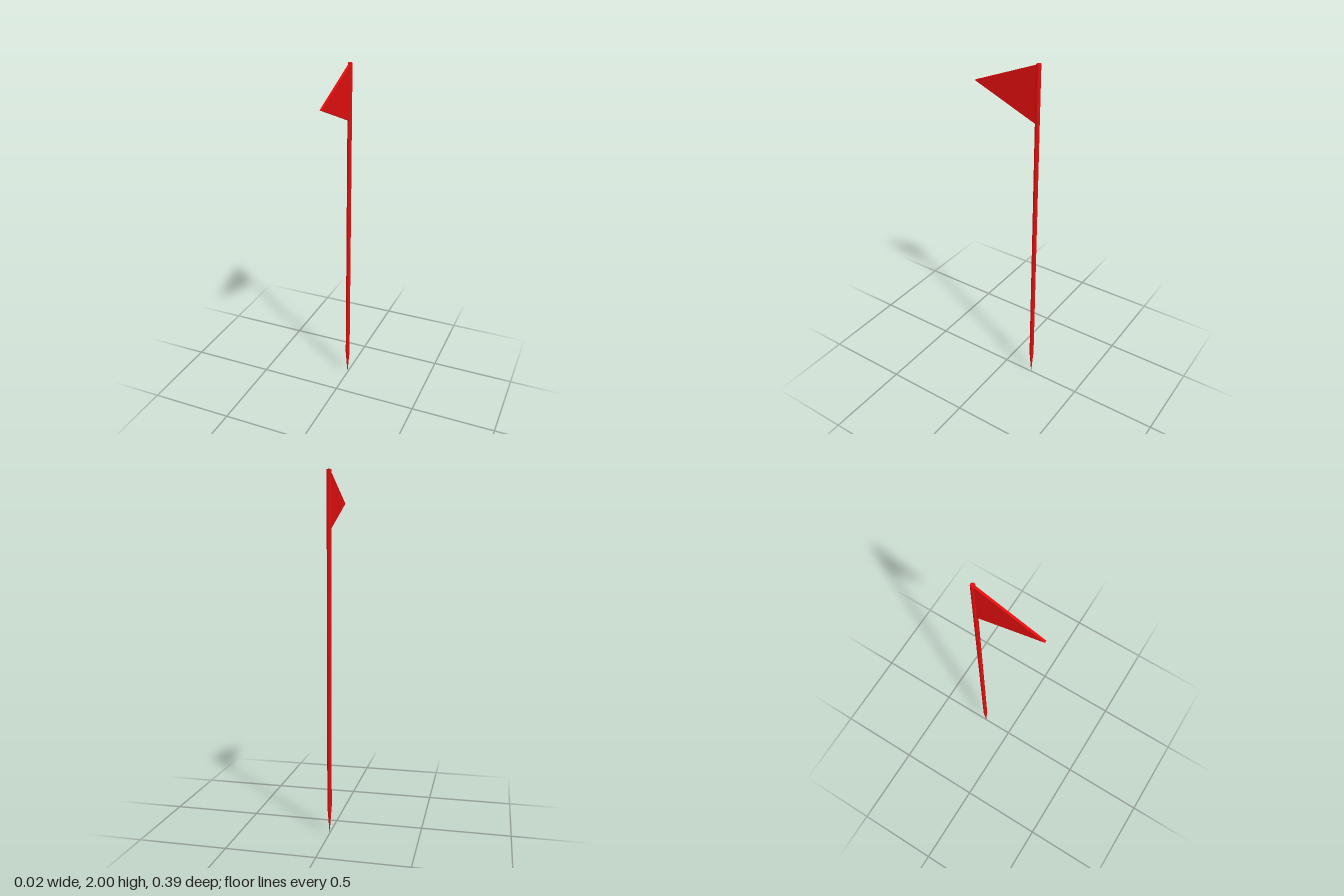
import * as THREE from 'three';

const POLE_Z = -0.185, RADIUS = 0.0125, SIDES = 10, SPIKE = 0.16, TOP = 2, CLOTH = 0.0125;

export function createModel() {
  const group = new THREE.Group();
  const red = new THREE.MeshStandardMaterial({ color: 0xe00e0e, flatShading: true });
  const add = (name, geometry) => {
    const mesh = new THREE.Mesh(geometry, red);
    mesh.name = name;
    group.add(mesh);
  };

  // Straight pole, open below where the spike joins, with a flat cap on top
  const shaft = new THREE.LatheGeometry([
    new THREE.Vector2(RADIUS, SPIKE),
    new THREE.Vector2(RADIUS, TOP),
    new THREE.Vector2(0, TOP),
  ], SIDES);
  add('pole', shaft.translate(0, 0, POLE_Z));

  // Pointed ground spike
  const spike = new THREE.LatheGeometry([
    new THREE.Vector2(0, 0),
    new THREE.Vector2(RADIUS, SPIKE),
  ], SIDES);
  add('groundSpike', spike.translate(0, 0, POLE_Z));

  // Triangular pennant, drawn along x and turned to point forward
  const pennant = new THREE.Shape([
    new THREE.Vector2(POLE_Z, 1.685),
    new THREE.Vector2(0.197, 1.842),
    new THREE.Vector2(POLE_Z, 1.998),
  ]);
  const flag = new THREE.ExtrudeGeometry(pennant, { depth: CLOTH, bevelEnabled: false });
  add('flag', flag.translate(0, 0, -CLOTH / 2).rotateY(-Math.PI / 2));

  return group;
}
